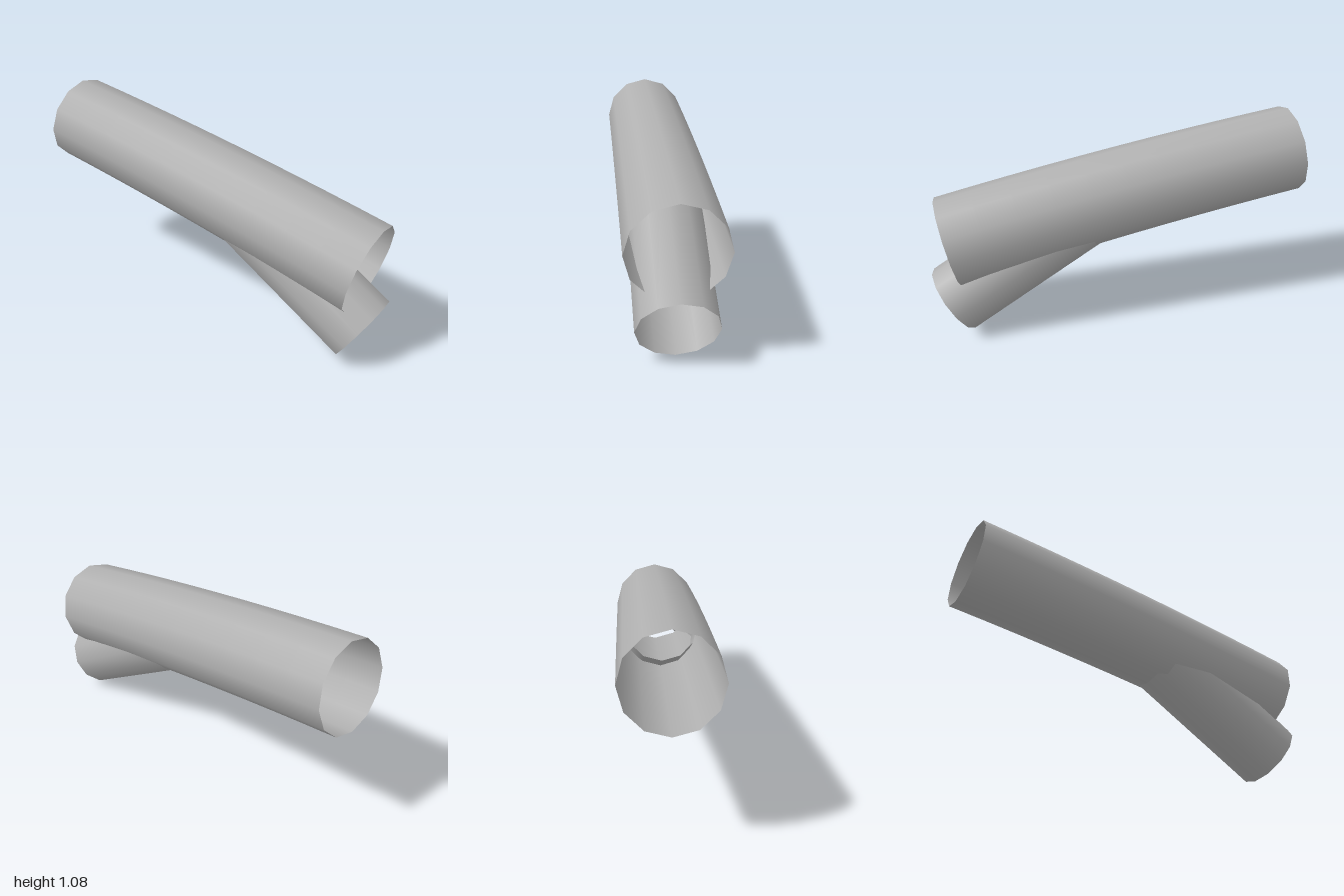
import * as THREE from 'three';

// Open twelve-sided pipe swept along a curve in the x = 0 plane, tapering from r0 to r1
function pipe(name, curve, r0, r1, rings, material) {
  const geo = new THREE.CylinderGeometry(r1, r0, 1, 12, rings, true);
  const pos = geo.attributes.position;
  const nor = geo.attributes.normal;
  const across = new THREE.Vector3(1, 0, 0);
  for (let i = 0; i < pos.count; i++) {
    const t = THREE.MathUtils.clamp(pos.getY(i) + 0.5, 0, 1);
    const centre = curve.getPoint(t);
    const along = curve.getTangent(t).normalize();
    const up = across.clone().cross(along);
    const place = (x, y, z) => new THREE.Vector3(x, 0, 0).addScaledVector(along, y).addScaledVector(up, z);
    const p = place(pos.getX(i), 0, pos.getZ(i)).add(centre);
    const n = place(nor.getX(i), nor.getY(i), nor.getZ(i));
    pos.setXYZ(i, p.x, p.y, p.z);
    nor.setXYZ(i, n.x, n.y, n.z);
  }
  const mesh = new THREE.Mesh(geo, material);
  mesh.name = name;
  return mesh;
}

export function createModel() {
  const group = new THREE.Group();
  group.name = 'branchingPipe';
  const grey = new THREE.MeshStandardMaterial({ color: 0xb0b0b0, side: THREE.DoubleSide });
  grey.name = 'grey';
  const v = (y, z) => new THREE.Vector3(0, y, z);

  // Gently arched main pipe, front to back
  const mainPath = new THREE.QuadraticBezierCurve3(v(0.516, 0.899), v(0.719, -0.033), v(0.85, -0.965));
  group.add(pipe('mainPipe', mainPath, 0.24, 0.23, 10, grey));

  // Straight branch, from its lower mouth up into the middle of the main pipe
  const branchPath = new THREE.LineCurve3(v(0.167, 0.9), v(0.72, 0));
  group.add(pipe('branchPipe', branchPath, 0.193, 0.193, 1, grey));

  return group;
}
